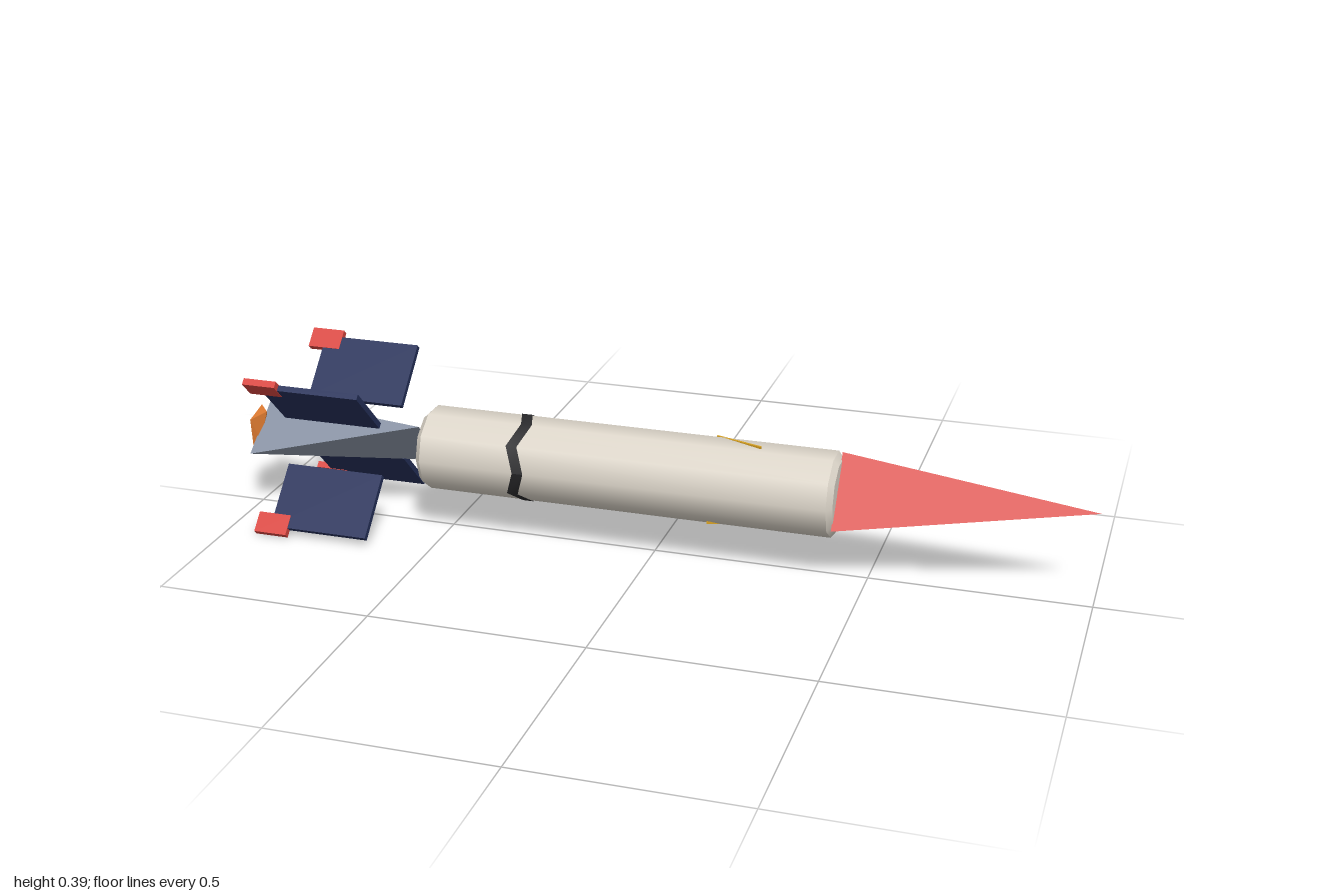
import * as THREE from 'three';
import { ConvexGeometry } from 'three/addons/geometries/ConvexGeometry.js';

const AXIS_Y = 0.195;

function paint(name, color, side = THREE.FrontSide) {
  const m = new THREE.MeshStandardMaterial({ color, side });
  m.name = name;
  return m;
}

export function createModel() {
  const rocket = new THREE.Group();
  rocket.name = 'rocket';

  const cream = paint('cream', 0xddd6ca);
  const red = paint('red', 0xd94640);
  const navy = paint('navy', 0x25305a);
  const steel = paint('steel blue', 0x8d97a8);
  const orange = paint('orange', 0xd9772f);
  const gold = paint('gold', 0xd6a021);
  const black = paint('black', 0x2a2a2c, THREE.DoubleSide);

  function add(name, geometry, material, parent = rocket) {
    const mesh = new THREE.Mesh(geometry, material);
    mesh.name = name;
    parent.add(mesh);
    return mesh;
  }

  // Ten-sided tube running along x, from x0 (radius r0) to x1 (radius r1)
  function tube(name, x0, x1, r0, r1, material, open) {
    const g = new THREE.CylinderGeometry(r1, r0, x1 - x0, 10, 1, open);
    g.rotateZ(-Math.PI / 2).translate((x0 + x1) / 2, AXIS_Y, 0);
    return add(name, g, material);
  }

  // Faceted solid through a few corner points
  function solid(name, corners, material) {
    return add(name, new ConvexGeometry(corners.map((c) => new THREE.Vector3(...c))), material);
  }

  // Body with slightly bevelled ends
  tube('body', -0.54, 0.418, 0.098, 0.098, cream, true);
  tube('frontBevel', 0.418, 0.43, 0.098, 0.082, cream, false);
  tube('rearBevel', -0.553, -0.54, 0.085, 0.098, cream, false);

  // Three-sided nose
  solid('nose', [[1, 0.215, -0.02], [0.428, 0.29, -0.02], [0.428, 0.14, 0.08], [0.428, 0.175, -0.095]], red);

  // Tail wedge: its two end edges are crossed
  solid('tail', [
    [-0.99, 0.245, -0.065], [-0.99, 0.148, 0.065],
    [-0.55, 0.268, 0.065], [-0.55, 0.132, -0.068],
  ], steel);

  // Nozzle at the rear
  solid('nozzle', [
    [-1, 0.238, -0.03], [-1, 0.222, 0.034], [-1, 0.152, 0.028], [-1, 0.165, -0.045],
    [-0.983, 0.225, -0.02], [-0.983, 0.165, 0.02],
  ], orange);

  // Zigzag band around the body
  const pos = [];
  const idx = [];
  for (let i = 0; i <= 10; i++) {
    const a = (i / 10) * Math.PI * 2;
    const x = i % 2 ? -0.318 : -0.298;
    const y = AXIS_Y + Math.sin(a) * 0.1;
    const z = Math.cos(a) * 0.1;
    pos.push(x - 0.013, y, z, x + 0.013, y, z);
    if (i < 10) idx.push(2 * i, 2 * i + 1, 2 * i + 3, 2 * i, 2 * i + 3, 2 * i + 2);
  }
  const band = new THREE.BufferGeometry();
  band.setAttribute('position', new THREE.Float32BufferAttribute(pos, 3));
  band.setIndex(idx);
  band.computeVertexNormals();
  add('band', band, black);

  // Thin slanted gold blades on the top and underside
  for (const s of [1, -1]) {
    const corners = [];
    for (const t of [-0.003, 0.003]) {
      for (const [x, h, z] of [[0.135, 0.092, -0.04], [0.25, 0.098, 0.01], [0.25, 0.075, 0.01], [0.135, 0.07, -0.04]]) {
        corners.push([x, AXIS_Y + s * h, s * (z + t)]);
      }
    }
    solid(s > 0 ? 'topBlade' : 'bottomBlade', corners, gold);
  }

  // Four diagonal fins, each with a red tip pod
  for (let i = 0; i < 4; i++) {
    const fin = new THREE.Group();
    fin.name = 'finAssembly';
    fin.position.y = AXIS_Y;
    fin.rotation.x = Math.PI / 4 + (i * Math.PI) / 2;
    const plate = new THREE.BoxGeometry(0.24, 0.16, 0.014).translate(-0.768, 0.17, 0);
    add('fin', plate, navy, fin);
    const pod = new THREE.BoxGeometry(0.08, 0.05, 0.016).translate(-0.885, 0.243, 0);
    add('finTip', pod, red, fin);
    rocket.add(fin);
  }

  return rocket;
}
